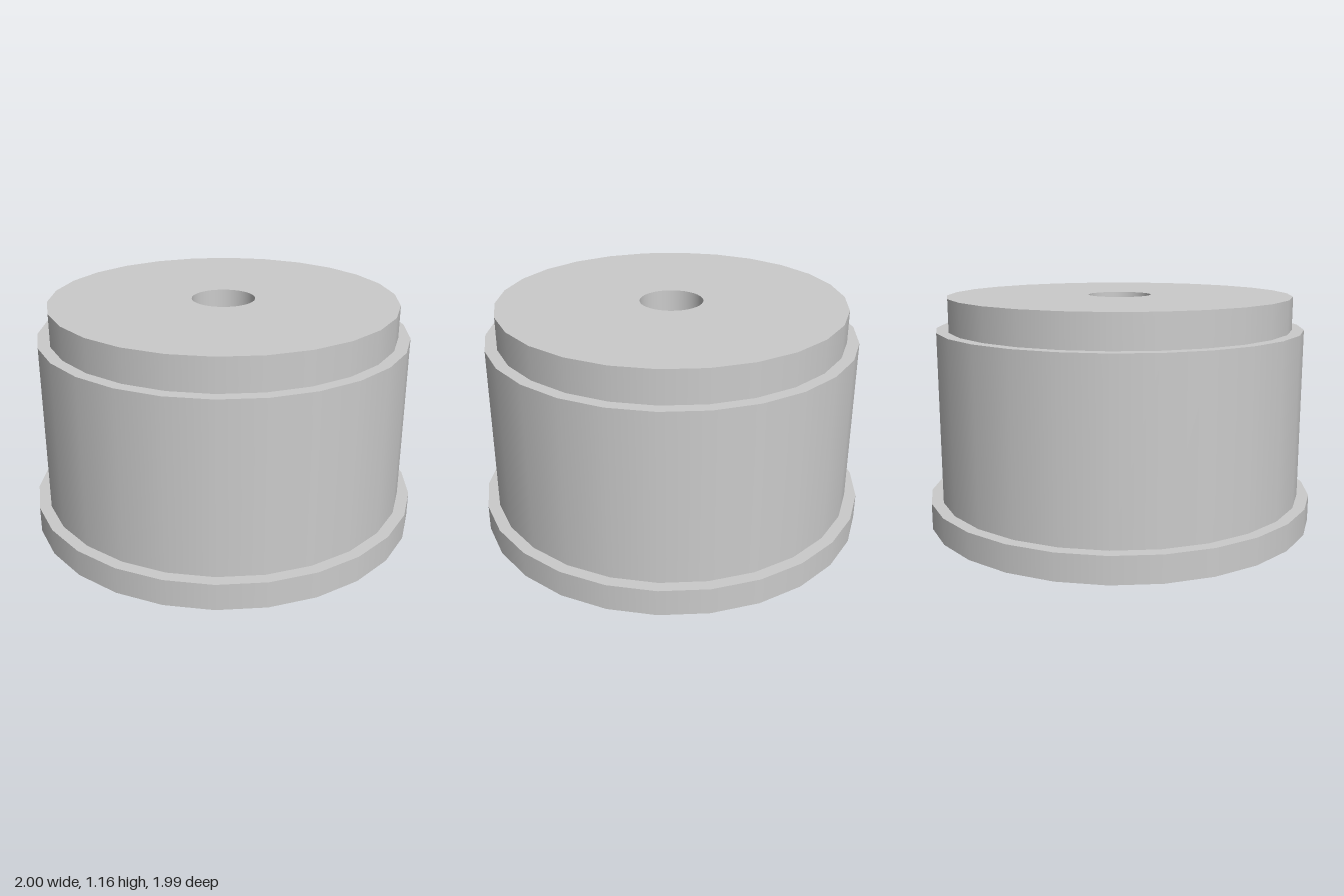
import * as THREE from 'three';

const SIDES = 26;        // facets round the housing
const BORE_SIDES = 48;   // facets round the drilled holes
const BORE_R = 0.16;
const SCREW = { r: 0.07, ring: 0.825, depth: 0.6 };

const material = new THREE.MeshStandardMaterial({ color: 0xcccccc });
const innerMaterial = new THREE.MeshStandardMaterial({ color: 0xcccccc, side: THREE.DoubleSide });

// Corner points of a regular polygon, first corner on +x
function ringPoints(r, sides, cx = 0, cy = 0) {
  return Array.from({ length: sides }, (_, i) => {
    const a = (i / sides) * Math.PI * 2;
    return new THREE.Vector2(cx + r * Math.cos(a), cy + r * Math.sin(a));
  });
}

function add(group, name, geometry, mat = material) {
  const mesh = new THREE.Mesh(geometry, mat);
  mesh.name = name;
  group.add(mesh);
}

// Open tube wall between two heights, first corner on +x
function wall(r, y0, y1, sides) {
  return new THREE.CylinderGeometry(r, r, y1 - y0, sides, 1, true, Math.PI / 2)
    .translate(0, (y0 + y1) / 2, 0);
}

// Flat horizontal face with holes, facing up or down
function face(r, y, holes, up = true) {
  const shape = new THREE.Shape(ringPoints(r, SIDES));
  shape.holes = holes.map((pts) => new THREE.Path(pts));
  return new THREE.ShapeGeometry(shape)
    .rotateX(up ? -Math.PI / 2 : Math.PI / 2)
    .translate(0, y, 0);
}

export function createModel() {
  const model = new THREE.Group();
  model.name = 'steppedHousing';

  const tiers = [
    { name: 'baseFlange', r: 1, y0: 0, y1: 0.135 },
    { name: 'body', r: 0.94, y0: 0.135, y1: 1 },
    { name: 'topCap', r: 0.88, y0: 1, y1: 1.165 },
  ];
  const bore = ringPoints(BORE_R, BORE_SIDES);

  // Stacked tiers: each has a wall and an upper face, cut out where the next tier stands
  tiers.forEach((t, i) => {
    const tier = new THREE.Group();
    tier.name = t.name;
    const next = tiers[i + 1];
    const cutout = next ? ringPoints(next.r, SIDES) : bore;
    add(tier, t.name + 'Wall', wall(t.r, t.y0, t.y1, SIDES));
    add(tier, t.name + 'UpperFace', face(t.r, t.y1, [cutout]));
    model.add(tier);
  });

  // Three screw holes on a circle, one of them on +x
  const screws = [0, 1, 2].map((i) => {
    const a = (i * Math.PI * 2) / 3;
    return { x: SCREW.ring * Math.cos(a), z: SCREW.ring * Math.sin(a) };
  });

  // Underside with the bore and screw holes cut through
  const screwRings = screws.map((s) => ringPoints(SCREW.r, BORE_SIDES, s.x, s.z));
  add(model, 'underside', face(1, 0, [bore, ...screwRings], false));

  // Central through bore
  add(model, 'centreBore', wall(BORE_R, 0, 1.165, BORE_SIDES), innerMaterial);

  // Blind screw holes
  screws.forEach(({ x, z }) => {
    const hole = new THREE.Group();
    hole.name = 'screwHole';
    add(hole, 'screwHoleWall', wall(SCREW.r, 0, SCREW.depth, BORE_SIDES), innerMaterial);
    add(hole, 'screwHoleEnd', new THREE.CircleGeometry(SCREW.r, BORE_SIDES)
      .rotateX(Math.PI / 2).translate(0, SCREW.depth, 0));
    hole.position.set(x, 0, z);
    model.add(hole);
  });

  return model;
}
